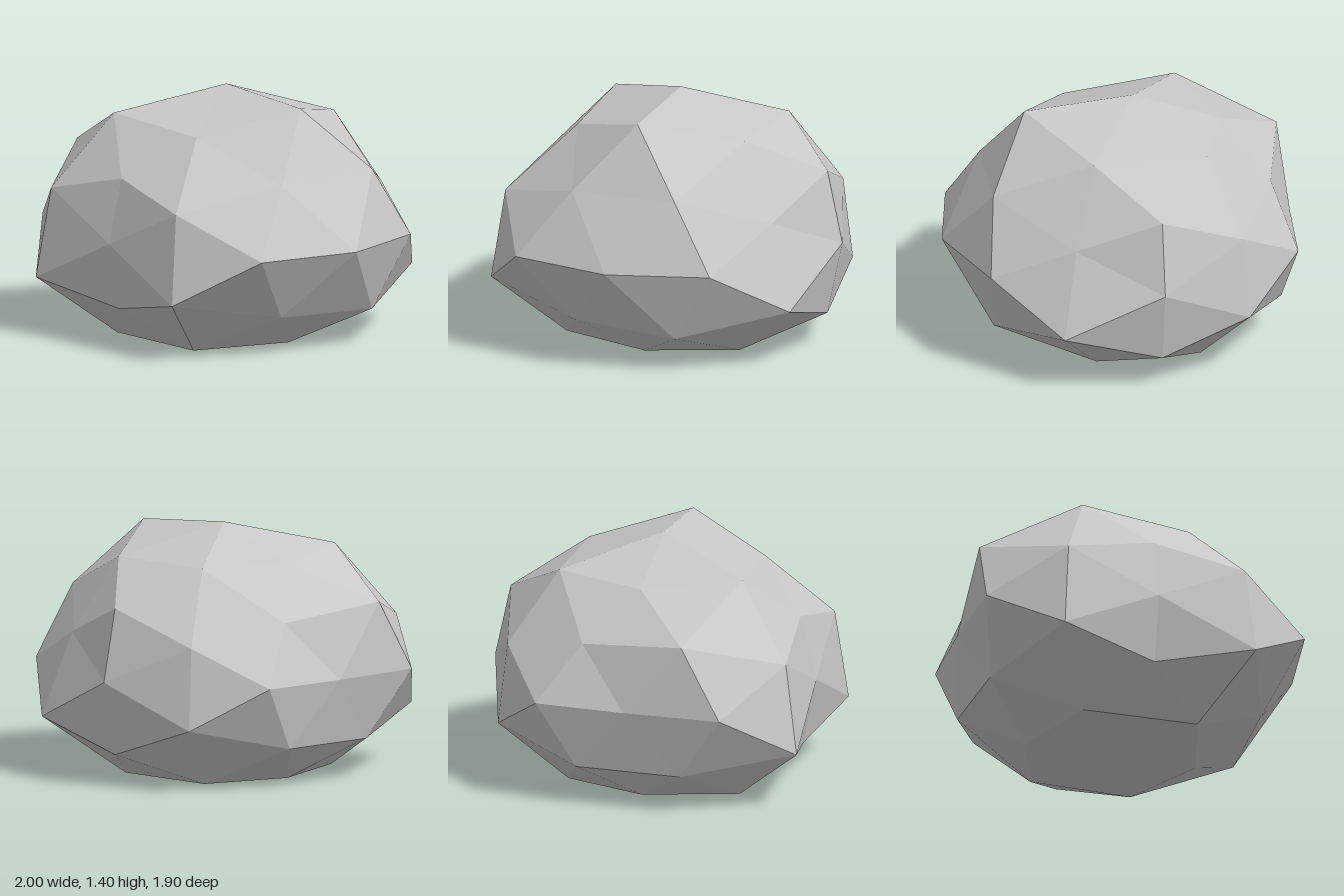
import * as THREE from 'three';

// Radii of the boulder by family of directions. Each list runs through the
// sign combinations of its direction, + before -, with z changing fastest.
const A = 0.526, B = 0.851, C = 0.309, D = 0.5, E = 0.809;
const FAMILIES = [
  [[A, B, 0], [1.18, 0.99, 0.96, 0.92]],
  [[0, A, B], [0.925, 1.046, 0.945, 1.046]],
  [[B, 0, A], [1.13, 1.075, 1.07, 0.988]],
  [[1, 0, 0], [1.09, 0.89]],
  [[0, 1, 0], [1.07, 1.0]],
  [[0, 0, 1], [0.88, 0.98]],
  [[D, C, E], [1.045, 0.925, 1.13, 1.11, 1.045, 0.962, 1.137, 1.02]],
  [[E, D, C], [1.01, 1.06, 0.99, 1.057, 1.08, 0.9, 0.99, 0.97]],
  [[C, E, D], [1.0, 1.04, 1.1, 0.97, 1.085, 1.04, 1.05, 0.95]],
];

const signs = (v) => (v === 0 ? [0] : [1, -1]);

function controlPoints() {
  const points = [];
  for (const [[x, y, z], radii] of FAMILIES) {
    let i = 0;
    for (const sx of signs(x)) for (const sy of signs(y)) for (const sz of signs(z)) {
      points.push({ dir: new THREE.Vector3(x * sx, y * sy, z * sz), radius: radii[i++] });
    }
  }
  return points;
}

export function createModel() {
  const group = new THREE.Group();
  group.name = 'boulder';
  const stone = new THREE.MeshStandardMaterial({ color: 0xc8c8c8 });
  stone.name = 'stone grey';

  // Faceted ball, pushed in and out, squashed in height and cut flat below
  const geometry = new THREE.IcosahedronGeometry(1, 1);
  const points = controlPoints();
  const pos = geometry.attributes.position;
  const v = new THREE.Vector3();
  for (let i = 0; i < pos.count; i++) {
    v.fromBufferAttribute(pos, i);
    const near = points.reduce((p, q) => (q.dir.dot(v) > p.dir.dot(v) ? q : p));
    const flatBase = v.y < -0.8;
    v.multiplyScalar(near.radius);
    const y = flatBase ? 0 : 0.6 + v.y * (v.y > 0 ? 0.745 : 0.76);
    pos.setXYZ(i, v.x - 0.09, y, v.z + 0.03);
  }
  geometry.computeVertexNormals(); // unshared corners keep every facet flat

  const rock = new THREE.Mesh(geometry, stone);
  rock.name = 'rock';
  group.add(rock);
  return group;
}
